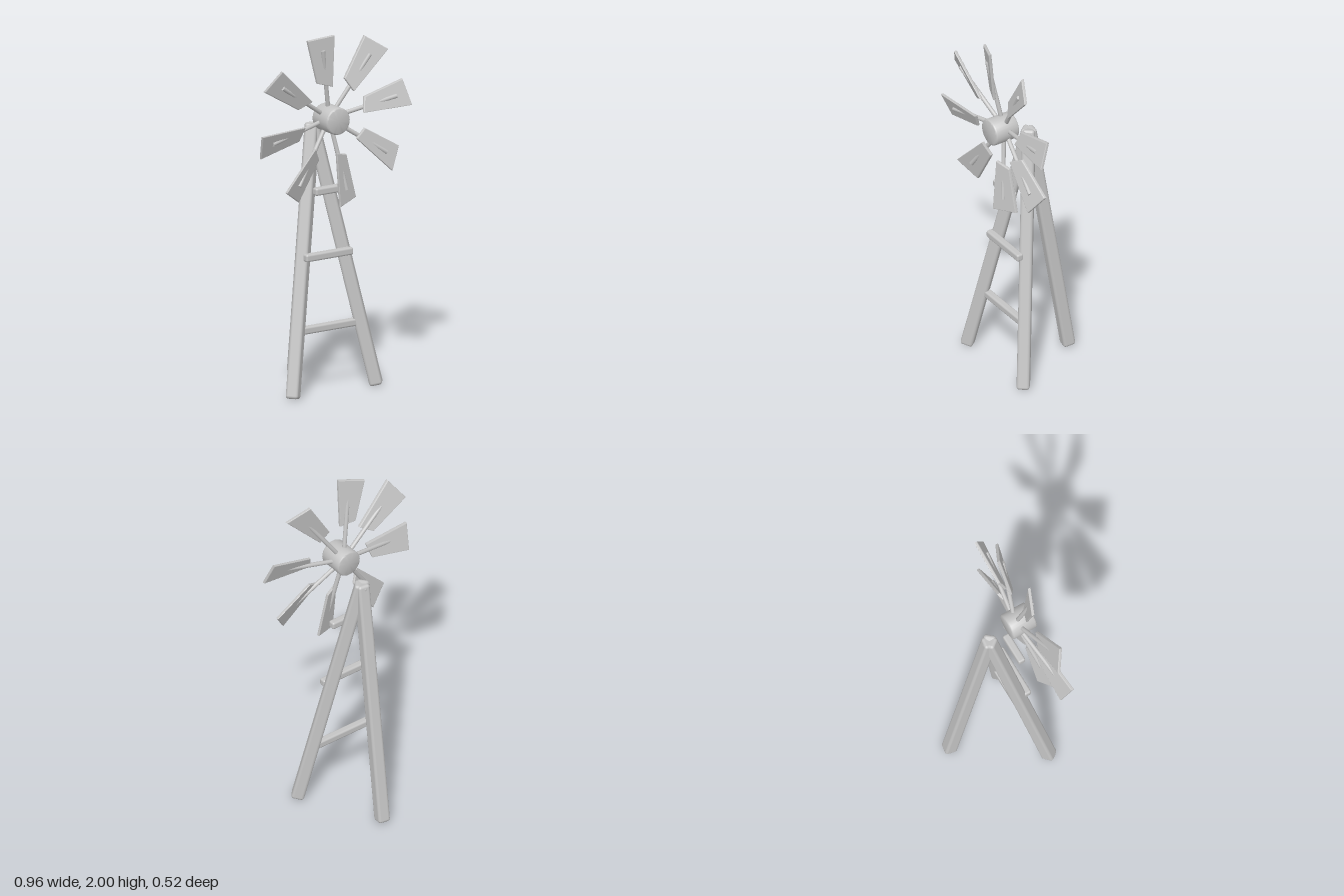
import * as THREE from 'three';
import { RoundedBoxGeometry } from 'three/addons/geometries/RoundedBoxGeometry.js';
import { toCreasedNormals } from 'three/addons/utils/BufferGeometryUtils.js';

const HUB_Y = 1.52;

export function createModel() {
  const group = new THREE.Group();
  group.name = 'windmill';
  const grey = new THREE.MeshStandardMaterial({ color: 0xc4c4c4 });
  grey.name = 'grey';

  const add = (parent, name, geometry) => {
    const mesh = new THREE.Mesh(geometry, grey);
    mesh.name = name;
    parent.add(mesh);
    return mesh;
  };

  // Three square legs leaning together at the top
  const apex = new THREE.Vector3(0, 1.454, 0.004);
  const leg = (name, x, z) => {
    const foot = new THREE.Vector3(x, 0.01, z);
    const up = apex.clone().sub(foot);
    const length = up.length();
    up.normalize();
    const side = new THREE.Vector3(z, 0, -x).normalize();
    const out = new THREE.Vector3().crossVectors(side, up);
    const mesh = add(group, name, new RoundedBoxGeometry(0.07, length, 0.07, 2, 0.016));
    mesh.quaternion.setFromRotationMatrix(new THREE.Matrix4().makeBasis(side, up, out));
    mesh.position.copy(foot).lerp(apex, 0.5);
  };
  leg('frontLeftLeg', 0.27, 0.22);
  leg('frontRightLeg', -0.27, 0.22);
  leg('backLeg', 0.036, -0.225);

  // Cross bars in one upright plane at the front
  for (const [y, half] of [[0.36, 0.2], [0.76, 0.152], [1.12, 0.09]]) {
    add(group, 'crossBar', new RoundedBoxGeometry(half * 2, 0.042, 0.042, 2, 0.011))
      .position.set(0, y, 0.158);
  }

  // Hub: a bevelled drum along z
  const rotor = new THREE.Group();
  rotor.name = 'rotor';
  rotor.position.y = HUB_Y;
  group.add(rotor);
  const hubProfile = [[0, 0.113], [0.067, 0.113], [0.073, 0.116], [0.075, 0.121],
    [0.075, 0.252], [0.073, 0.257], [0.067, 0.26], [0, 0.26]]
    .map(([r, h]) => new THREE.Vector2(r, h));
  const hub = new THREE.LatheGeometry(hubProfile, 32).rotateX(Math.PI / 2);
  add(rotor, 'hub', toCreasedNormals(hub, 0.9));

  // Blade outline along +x, then pitched by shearing in z
  const outline = new THREE.Shape([[0.192, -0.02], [0.473, -0.068], [0.473, 0.064], [0.226, 0.049]]
    .map(([x, y]) => new THREE.Vector2(x, y)));
  const blade = new THREE.ExtrudeGeometry(outline, {
    depth: 0.01, bevelEnabled: true, bevelThickness: 0.004, bevelSize: 0.004, bevelSegments: 2,
  });
  const p = blade.attributes.position;
  for (let i = 0; i < p.count; i++) {
    const x = p.getX(i), y = p.getY(i);
    p.setZ(i, p.getZ(i) + 0.208 - 0.4 * y + 0.02 * (x - 0.473));
  }
  blade.computeVertexNormals();

  // Rod from the hub, leaning forward until its tip pokes through the blade
  const rodStart = new THREE.Vector3(0.02, 0, 0.168);
  const rodEnd = new THREE.Vector3(0.405, 0, 0.221);
  const rodAxis = rodEnd.clone().sub(rodStart);
  const rod = new THREE.CylinderGeometry(0.012, 0.012, rodAxis.length(), 12);
  rod.applyQuaternion(new THREE.Quaternion().setFromUnitVectors(
    new THREE.Vector3(0, 1, 0), rodAxis.clone().normalize()));
  const rodMid = rodStart.clone().lerp(rodEnd, 0.5);
  rod.translate(rodMid.x, rodMid.y, rodMid.z);

  // Eight arms around the hub
  for (let i = 0; i < 8; i++) {
    const arm = new THREE.Group();
    arm.name = 'arm';
    arm.rotation.z = THREE.MathUtils.degToRad(10.8 + i * 45);
    add(arm, 'rod', rod);
    add(arm, 'blade', blade);
    rotor.add(arm);
  }
  return group;
}
